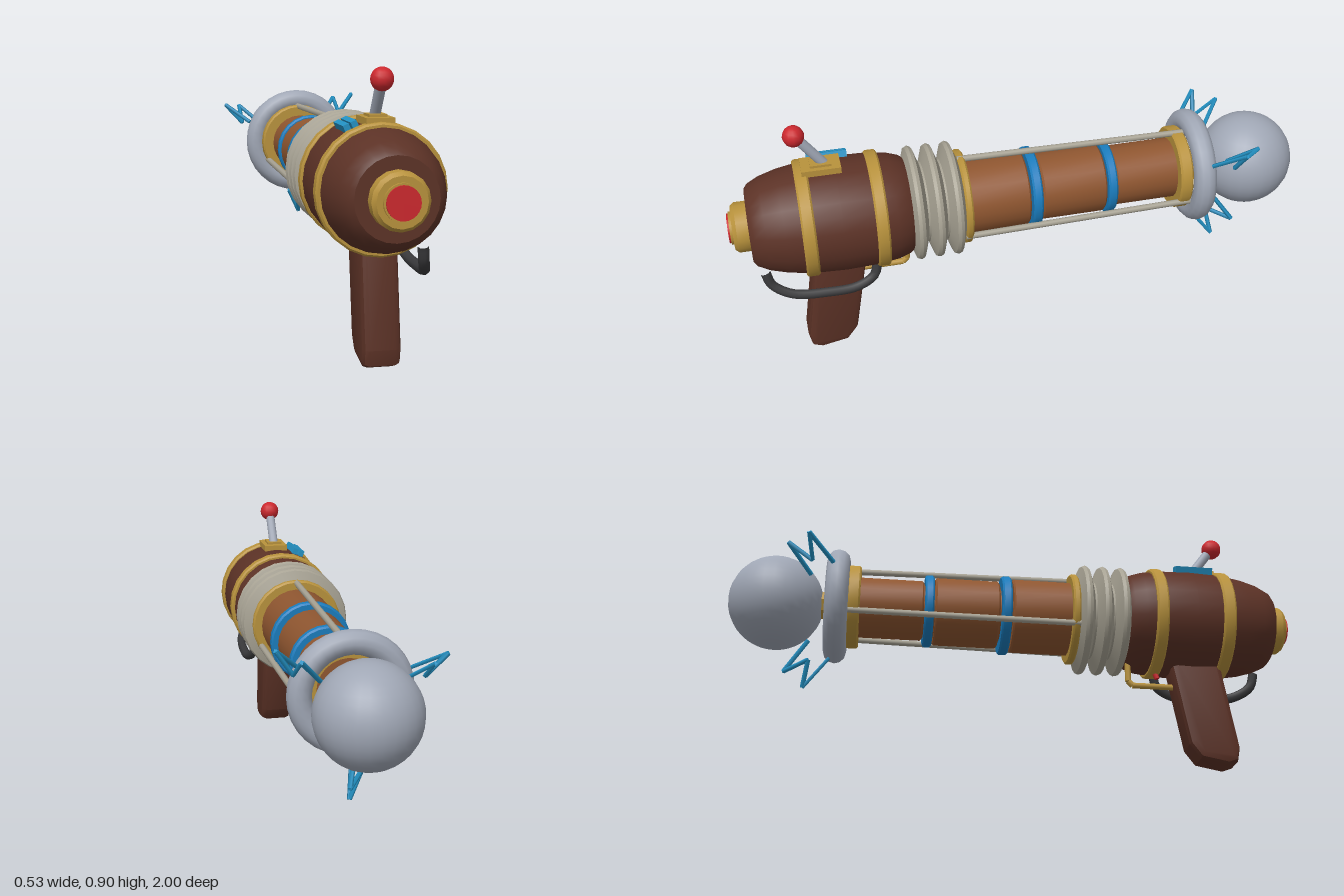
import * as THREE from 'three';
import { toCreasedNormals } from 'three/addons/utils/BufferGeometryUtils.js';

const mat = (name, color) => Object.assign(new THREE.MeshStandardMaterial({ color }), { name });
const V = (x, y, z) => new THREE.Vector3(x, y, z);

export function createModel() {
  const wood = mat('darkWood', 0x5c3226);
  const copper = mat('copper', 0x8f5630);
  const brass = mat('brass', 0xb8923c);
  const steel = mat('steel', 0xa0a7b5);
  const pewter = mat('pewter', 0xa8a394);
  const blue = mat('ringBlue', 0x1a7cbd);
  const spark = mat('sparkBlue', 0x2492c4);
  const rubber = mat('rubber', 0x3a3a3c);
  const red = mat('red', 0xcc282e);

  const model = new THREE.Group();
  model.name = 'rayGun';
  const gun = new THREE.Group(); // origin on the barrel axis
  gun.name = 'gun';
  gun.position.set(0.011, 0.54, 0);
  model.add(gun);

  const add = (name, geometry, material, x = 0, y = 0, z = 0) => {
    const mesh = new THREE.Mesh(geometry, material);
    mesh.name = name;
    mesh.position.set(x, y, z);
    gun.add(mesh);
    return mesh;
  };
  // Turned part along the axis: [z, radius] pairs, z increasing
  const turned = (name, profile, material, sides = 24) => {
    const g = new THREE.LatheGeometry(profile.map(([z, r]) => new THREE.Vector2(r, z)), sides);
    g.rotateX(Math.PI / 2);
    return add(name, toCreasedNormals(g, 0.6), material);
  };
  const disc = (name, z0, z1, r, material, b = 0.006) =>
    turned(name, [[z0, 0], [z0, r - b], [z0 + b, r], [z1 - b, r], [z1, r - b], [z1, 0]], material);
  // Straight bar between two points
  const bar = (name, a, b, r, material, sides = 8) => {
    const d = b.clone().sub(a);
    const m = add(name, new THREE.CylinderGeometry(r, r, d.length(), sides), material);
    m.position.copy(a).add(b).multiplyScalar(0.5);
    m.quaternion.setFromUnitVectors(V(0, 1, 0), d.normalize());
    return m;
  };

  // Body, bands and end button
  turned('body', [[0.39, 0], [0.39, 0.155], [0.41, 0.17], [0.45, 0.183], [0.52, 0.192], [0.63, 0.195],
    [0.74, 0.19], [0.82, 0.177], [0.88, 0.16], [0.92, 0.14], [0.932, 0.125], [0.932, 0]], wood);
  disc('frontBand', 0.72, 0.765, 0.2, brass);
  disc('rearBand', 0.482, 0.525, 0.2, brass);
  turned('buttonHousing', [[0.92, 0.086], [0.972, 0.086], [0.985, 0.075], [0.985, 0]], brass, 16);
  turned('buttonCollar', [[0.98, 0.056], [0.994, 0.056], [0.994, 0]], brass);
  turned('button', [[0.98, 0.05], [1, 0.05], [1, 0]], red);

  // Ribbed bellows
  const ribs = [[0.2, 0], [0.2, 0.14]];
  for (const z of [0.245, 0.31, 0.375]) {
    ribs.push([z - 0.029, 0.14], [z - 0.011, 0.192], [z, 0.197], [z + 0.011, 0.192], [z + 0.029, 0.14]);
  }
  turned('bellows', ribs, pewter);

  // Stepped barrel with blue rings and end flanges
  disc('rearFlange', 0.194, 0.22, 0.163, brass);
  [[-0.012, 0.2, 0.131], [-0.285, -0.058, 0.12], [-0.56, -0.324, 0.106]].forEach(([a, b, r]) =>
    disc('barrelSection', a, b, r, copper));
  disc('barrelCore', -0.4, 0.1, 0.095, copper);
  disc('blueRing', -0.052, -0.018, 0.141, blue);
  disc('blueRing', -0.321, -0.289, 0.128, blue);
  turned('muzzleFlange', [[-0.565, 0.1], [-0.59, 0.1], [-0.59, 0.14], [-0.584, 0.146], [-0.551, 0.146],
    [-0.545, 0.14], [-0.545, 0.1]], brass);
  turned('muzzleNeck', [[-0.7, 0], [-0.7, 0.05], [-0.55, 0.05]], brass, 8);

  // Rods along the barrel
  for (const deg of [90, 210, 330]) {
    const a = deg * Math.PI / 180;
    bar('barrelRod', V(0.153 * Math.cos(a), 0.153 * Math.sin(a), 0.22),
      V(0.14 * Math.cos(a), 0.14 * Math.sin(a), -0.6), 0.011, pewter);
  }

  // Emitter ring and ball
  add('emitterRing', new THREE.TorusGeometry(0.161, 0.04, 12, 32), steel, 0, 0, -0.625);
  add('emitterBall', new THREE.SphereGeometry(0.165, 28, 20), steel, 0, 0, -0.835);

  // Zigzag sparks: [radius, z, angle offset]
  const zigzag = [[0.2, -0.64, 0], [0.305, -0.725, 5], [0.217, -0.71, -4], [0.245, -0.795, 10], [0.135, -0.715, 2]];
  for (const [base, side] of [[30, 1], [158, -1], [270, 1]]) {
    const pts = zigzag.map(([r, z, off]) => {
      const a = (base + side * off) * Math.PI / 180;
      return V(r * Math.cos(a), r * Math.sin(a), z);
    });
    for (let i = 1; i < pts.length; i++) bar('spark', pts[i - 1], pts[i], 0.008, spark, 4);
  }

  // Slanted grip, side profile extruded across the width
  const side = [[0.725, -0.1], [0.785, -0.475], [0.775, -0.525], [0.74, -0.538], [0.645, -0.52],
    [0.608, -0.47], [0.555, -0.17], [0.555, -0.1]];
  const grip = new THREE.ExtrudeGeometry(new THREE.Shape(side.map(([z, y]) => new THREE.Vector2(-z, y))), {
    depth: 0.077, bevelSize: 0.02, bevelThickness: 0.02, bevelOffset: -0.02, bevelSegments: 2 });
  grip.translate(0, 0, -0.0385).rotateY(Math.PI / 2);
  add('grip', toCreasedNormals(grip, 0.5), wood);

  // Trigger guard and trigger
  const guard = [V(0, -0.245, 0.59), V(0, -0.245, 0.425), V(0, -0.23, 0.41), V(0, -0.16, 0.41)];
  for (let i = 1; i < guard.length; i++) bar('triggerGuard', guard[i - 1], guard[i], 0.011, brass);
  bar('trigger', V(0, -0.17, 0.5), V(0, -0.215, 0.515), 0.01, red);

  // Hose under the left side
  const hose = new THREE.CatmullRomCurve3([V(0.085, -0.14, 0.9), V(0.092, -0.19, 0.885), V(0.112, -0.227, 0.82),
    V(0.12, -0.236, 0.7), V(0.12, -0.23, 0.6), V(0.11, -0.2, 0.54), V(0.1, -0.155, 0.525)]);
  add('hose', new THREE.TubeGeometry(hose, 28, 0.017, 8), rubber);

  // Lever on a plate, and the blue switch beside it
  add('leverPlate', new THREE.BoxGeometry(0.088, 0.022, 0.13), brass, 0, 0.2, 0.675);
  add('leverBoss', new THREE.BoxGeometry(0.055, 0.01, 0.07), brass, 0, 0.214, 0.675);
  bar('lever', V(0, 0.205, 0.66), V(0, 0.32, 0.745), 0.017, steel, 12);
  add('leverKnob', new THREE.SphereGeometry(0.036, 12, 10), red, 0, 0.325, 0.75);
  for (const s of [-1, 1]) {
    add('blueSwitch', new THREE.BoxGeometry(0.019, 0.03, 0.134), spark, -0.082 + s * 0.0115, 0.182 + s * 0.005, 0.648)
      .rotation.z = 0.42;
  }

  return model;
}
